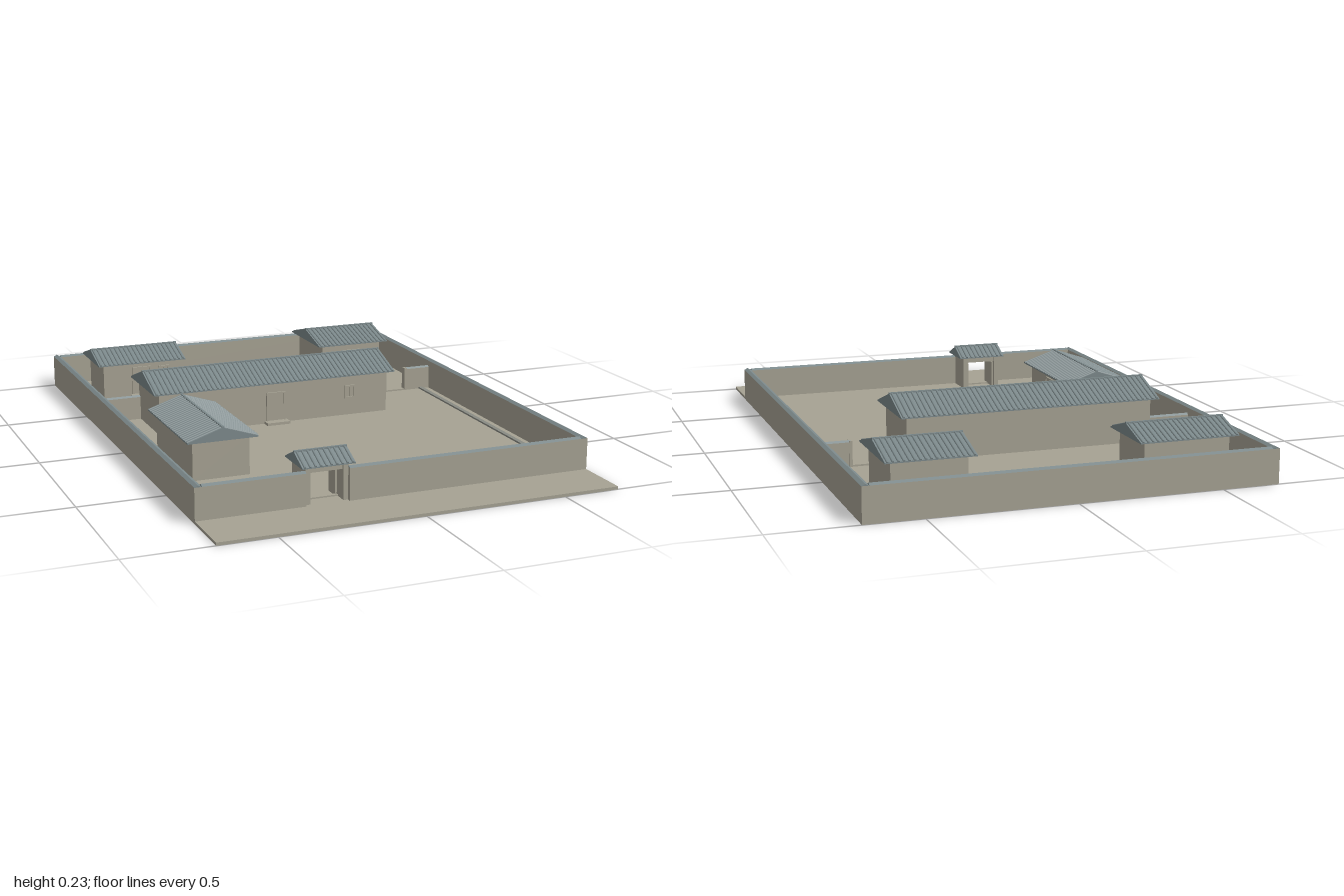
import * as THREE from 'three';
import { mergeGeometries } from 'three/addons/utils/BufferGeometryUtils.js';

const mat = (name, color) => {
  const m = new THREE.MeshStandardMaterial({ color });
  m.name = name;
  return m;
};

export function createModel() {
  const earth = mat('earth', 0xa6a293);
  const plaster = mat('plaster', 0xa6a293);
  const tile = mat('roof tile', 0x7c898b);
  const stone = mat('grey stone', 0x898b84);
  const model = new THREE.Group();
  model.name = 'walledCourtyard';
  const G = 0.01; // ground level

  // Box given by its extents on each axis
  function box(name, x0, x1, y0, y1, z0, z1, material, parent = model) {
    const m = new THREE.Mesh(new THREE.BoxGeometry(x1 - x0, y1 - y0, z1 - z0), material);
    m.position.set((x0 + x1) / 2, (y0 + y1) / 2, (z0 + z1) / 2);
    m.name = name;
    parent.add(m);
    return m;
  }

  // Solid prism along x with the given (z, y) cross-section
  function prism(points, length) {
    const shape = new THREE.Shape(points.map(([z, y]) => new THREE.Vector2(-z, y)));
    const g = new THREE.ExtrudeGeometry(shape, { depth: length, bevelEnabled: false });
    g.translate(0, 0, -length / 2);
    g.rotateY(Math.PI / 2);
    return g;
  }

  // Gabled roof with rows of round tiles, ridge along local x
  function roof(length, depth, eave, peak, parent) {
    const h = depth / 2, lip = eave + 0.004, top = peak - 0.004;
    const body = new THREE.Mesh(prism([[-h, eave], [h, eave], [h, lip], [0, top], [-h, lip]], length), tile);
    body.name = 'roofSlopes';
    parent.add(body);

    const count = Math.round(length / 0.018), pitch = length / count;
    const slope = Math.hypot(h, top - lip), angle = Math.atan2(top - lip, h);
    const ribs = [];
    for (let i = 0; i < count; i++) {
      for (const side of [1, -1]) {
        const g = new THREE.CylinderGeometry(0.0042, 0.0042, slope, 6);
        g.rotateX(side * (Math.PI / 2 + angle));
        g.translate(-length / 2 + (i + 0.5) * pitch, (lip + top) / 2, side * h / 2);
        ribs.push(g);
      }
    }
    const rows = new THREE.Mesh(mergeGeometries(ribs), tile);
    rows.name = 'tileRows';
    parent.add(rows);
    box('ridge', -length / 2, length / 2, top - 0.004, peak, -0.004, 0.004, tile, parent);
  }

  // Four thin bars around an opening on a local +z face
  function frame(name, cx, y0, y1, w, z, parent) {
    const t = 0.006, d = 0.006;
    for (const s of [-1, 1]) {
      const x = cx + s * (w / 2 - t / 2);
      box(name + 'Side', x - t / 2, x + t / 2, y0, y1, z, z + d, plaster, parent);
    }
    box(name + 'Top', cx - w / 2, cx + w / 2, y1 - t, y1, z, z + d, plaster, parent);
    box(name + 'Bottom', cx - w / 2, cx + w / 2, y0, y0 + t, z, z + d, plaster, parent);
  }

  // Hall facing local +z: body, roof, door with step, windows
  function hall(name, x, z, length, depth, eave, peak, windows, turn = 0) {
    const g = new THREE.Group();
    g.name = name;
    g.position.set(x, 0, z);
    g.rotation.y = turn;
    model.add(g);
    const l = length / 2 - 0.024, d = depth / 2 - 0.024;
    box('hallBody', -l, l, G, eave + 0.002, -d, d, plaster, g);
    roof(length, depth, eave, peak, g);
    const doorTop = Math.min(0.128, eave - 0.012);
    frame('door', 0, G, doorTop, 0.075, d, g);
    box('doorPanel', -0.032, 0.032, G, doorTop - 0.006, d, d + 0.002, plaster, g);
    box('doorStep', -0.045, 0.045, G, 0.02, d, d + 0.035, plaster, g);
    for (const wx of windows) {
      frame('window', wx, 0.075, 0.125, 0.044, d, g);
      box('windowMullion', wx - 0.002, wx + 0.002, 0.075, 0.125, d, d + 0.004, plaster, g);
    }
  }

  // Ground, including the forecourt
  box('ground', -0.7, 0.7, 0, G, -1, 1, earth);

  // Perimeter and inner walls with low gabled caps
  function wall(name, x0, x1, z0, z1, top) {
    box(name, x0, x1, G, top, z0, z1, plaster);
    const alongX = x1 - x0 > z1 - z0;
    const length = alongX ? x1 - x0 : z1 - z0;
    const h = (alongX ? z1 - z0 : x1 - x0) / 2;
    const cap = new THREE.Mesh(prism([[-h, top], [h, top], [0, top + 0.006]], length), tile);
    cap.position.set((x0 + x1) / 2, 0, (z0 + z1) / 2);
    if (!alongX) cap.rotation.y = Math.PI / 2;
    cap.name = name + 'Cap';
    model.add(cap);
  }
  const T = 0.025, H = 0.12;
  wall('rightWall', -0.7, -0.7 + T, -1, 0.8, H);
  wall('leftWall', 0.7 - T, 0.7, -1, 0.8, H);
  wall('backWall', -0.7 + T, 0.7 - T, -1, -1 + T, H);
  wall('frontWallRight', -0.7 + T, -0.327, 0.8 - T, 0.8, H);
  wall('frontWallLeft', -0.177, 0.7 - T, 0.8 - T, 0.8, H);
  wall('innerWallRight', -0.675, -0.526, -0.378, -0.362, 0.095);
  wall('innerWallLeft', 0.376, 0.48, -0.378, -0.362, 0.095);
  wall('innerWallEnd', 0.568, 0.675, -0.378, -0.362, 0.095);

  // Inner gateway with one open leaf
  for (const x of [0.477, 0.566]) box('innerGatePost', x, x + 0.01, G, 0.1, -0.382, -0.358, plaster);
  box('innerGateSill', 0.48, 0.57, G, 0.016, -0.378, -0.362, plaster);
  box('innerGateLeaf', 0.487, 0.491, G, 0.09, -0.418, -0.37, plaster);

  // Main gatehouse with an open passage
  const gate = new THREE.Group();
  gate.name = 'gatehouse';
  gate.position.set(-0.25, 0, 0.728);
  model.add(gate);
  for (const s of [-1, 1]) {
    const a = s * 0.066;
    box('gatePier', a - 0.009, a + 0.009, G, 0.137, -0.058, 0.058, plaster, gate);
    box('gateLeaf', s * 0.053 - 0.003, s * 0.053 + 0.003, G, 0.11, -0.05, 0.005, plaster, gate);
  }
  box('gateLintel', -0.06, 0.06, 0.113, 0.137, -0.05, 0.05, plaster, gate);
  box('gateSill', -0.06, 0.06, G, 0.015, 0, 0.012, plaster, gate);
  roof(0.184, 0.15, 0.135, 0.177, gate);

  // Halls
  hall('mainHall', -0.075, -0.25, 0.95, 0.3, 0.165, 0.226, [-0.3, 0.3]);
  hall('backRightHall', -0.428, -0.778, 0.352, 0.246, 0.146, 0.192, [0.092]);
  hall('backLeftHall', 0.45, -0.752, 0.3, 0.3, 0.154, 0.202, [0.085]);
  hall('sideHall', -0.48, 0.222, 0.446, 0.25, 0.146, 0.195, [0.13], Math.PI / 2);

  // Long low kerb beside the left wall
  box('kerb', 0.632, 0.648, G, 0.016, -0.362, 0.65, stone);

  return model;
}
